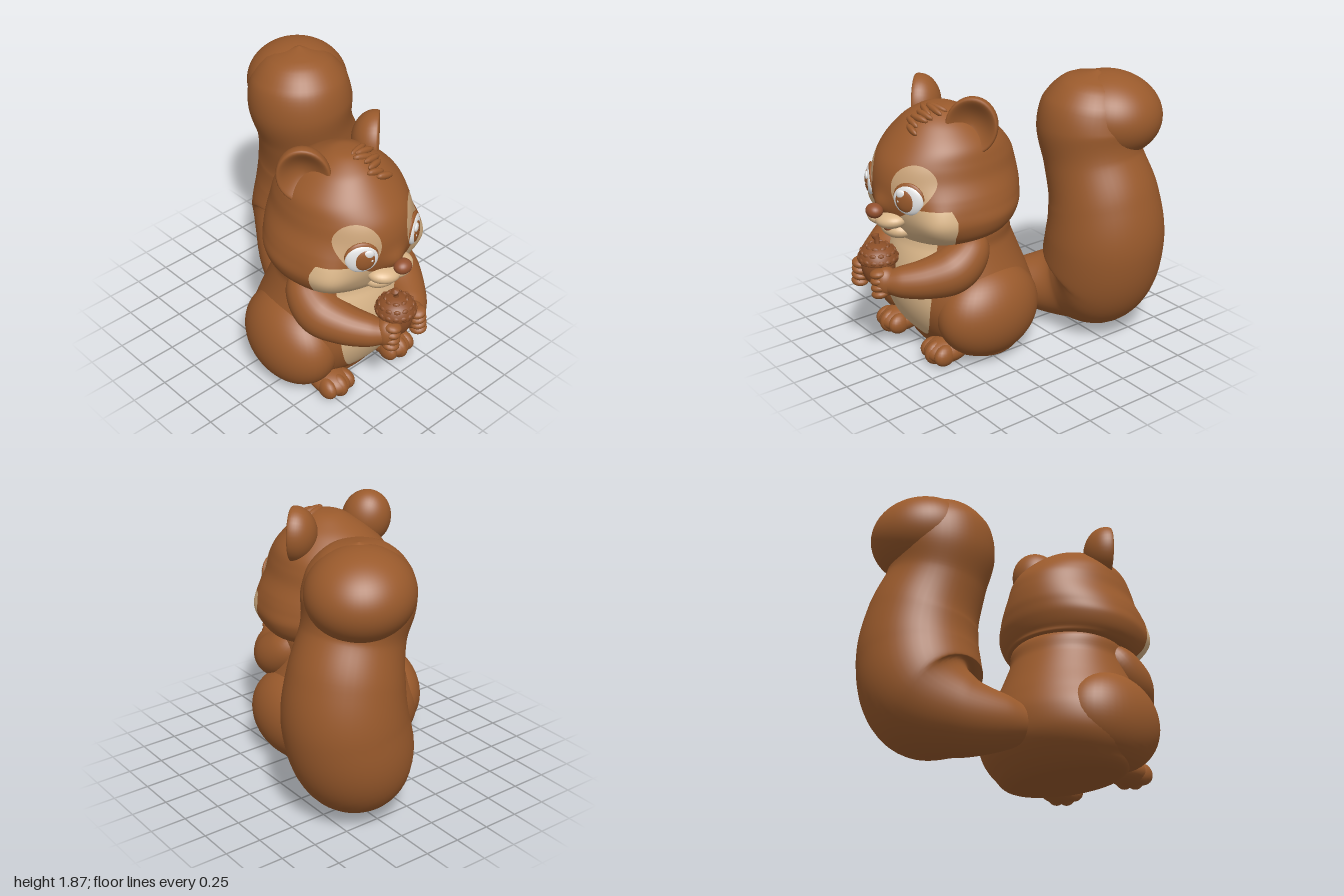
import * as THREE from 'three';
import { mergeVertices } from 'three/addons/utils/BufferGeometryUtils.js';

const mat = (name, color) => Object.assign(new THREE.MeshStandardMaterial({ color }), { name });
const fur = mat('brown fur', 0x9a5a2c);
const cream = mat('cream fur', 0xdab689);
const patch = mat('tan eye patch', 0xc9a277);
const white = mat('eye white', 0xe6e6e6);
const nutBrown = mat('nut brown', 0x8c4f28);
const noseBrown = mat('nose brown', 0x93502e);

// Smooth interpolation through rows of numbers, t from 0 to 1
function spline(rows, t) {
  const n = rows.length - 1, i = Math.min(Math.floor(t * n), n - 1), k = t * n - i;
  const at = (j) => rows[Math.max(0, Math.min(n, j))];
  return rows[0].map((_, c) => {
    const [a, b, d, e] = [at(i - 1)[c], at(i)[c], at(i + 1)[c], at(i + 2)[c]];
    return b + 0.5 * k * (d - a + k * (2 * a - 5 * b + 4 * d - e + k * (3 * (b - d) + e - a)));
  });
}

function smooth(geo) {
  geo.deleteAttribute('uv');
  geo.deleteAttribute('normal');
  const g = mergeVertices(geo, 1e-5);
  g.computeVertexNormals();
  return g;
}

function add(parent, name, geo, material, pos = [0, 0, 0], rot = [0, 0, 0]) {
  const m = new THREE.Mesh(geo, material);
  m.name = name;
  m.position.set(...pos);
  m.rotation.set(...rot);
  parent.add(m);
  return m;
}

const blob = (parent, name, material, pos, r, rot, seg = 28) =>
  add(parent, name, new THREE.SphereGeometry(1, seg, Math.ceil(seg * 0.7)).scale(...r), material, pos, rot);

// Stacked ellipses; each row is [y, half width, back z, front z], then warp(point) adjusts each vertex
function loft(rows, nu, nv, warp) {
  const geo = new THREE.PlaneGeometry(1, 1, nu, nv), p = geo.attributes.position;
  for (let i = 0; i < p.count; i++) {
    const th = p.getX(i) * Math.PI * 2;
    const [y, w, back, front] = spline(rows, Math.min(1, Math.max(0, p.getY(i) + 0.5)));
    const v = new THREE.Vector3(w * Math.sin(th), y, (back + front) / 2 + (front - back) / 2 * Math.cos(th));
    warp(v);
    p.setXYZ(i, v.x, v.y, v.z);
  }
  return smooth(geo);
}

// Tube of varying thickness through points [x, y, z, radius]
function sweep(pts, steps, sides) {
  const path = new THREE.CatmullRomCurve3(pts.map((q) => new THREE.Vector3(q[0], q[1], q[2])));
  const geo = new THREE.TubeGeometry(path, steps, 1, sides), p = geo.attributes.position;
  const v = new THREE.Vector3();
  for (let i = 0; i < p.count; i++) {
    const u = Math.floor(i / (sides + 1)) / steps, c = path.getPointAt(u);
    const r = spline(pts, path.getUtoTmapping(u))[3];
    v.fromBufferAttribute(p, i).sub(c).multiplyScalar(r).add(c);
    p.setXYZ(i, v.x, v.y, v.z);
  }
  return smooth(geo);
}

// Cut a surface along the zero line of each field(|x|, y, z); its positive side becomes material 1, 2, ...
function paint(geo, fields) {
  const pos = Array.from(geo.attributes.position.array), nor = Array.from(geo.attributes.normal.array);
  const ix = geo.index.array, sets = [[]];
  for (let i = 0; i < ix.length; i += 3) sets[0].push([ix[i], ix[i + 1], ix[i + 2]]);
  const cut = (a, b, t) => {
    for (const arr of [pos, nor])
      for (let k = 0; k < 3; k++) arr.push(arr[a * 3 + k] + (arr[b * 3 + k] - arr[a * 3 + k]) * t);
    return pos.length / 3 - 1;
  };
  for (const field of fields) {
    const out = [], inn = [];
    for (const tri of sets[0]) {
      const f = tri.map((j) => field(Math.abs(pos[j * 3]), pos[j * 3 + 1], pos[j * 3 + 2]));
      const sum = f.filter((v) => v > 0).length;
      if (sum % 3 === 0) { (sum ? inn : out).push(tri); continue; }
      const k = f.findIndex((v) => (v > 0) === (sum === 1)), l = (k + 1) % 3, m = (k + 2) % 3;
      const p = cut(tri[k], tri[l], f[k] / (f[k] - f[l])), q = cut(tri[k], tri[m], f[k] / (f[k] - f[m]));
      const [lone, pair] = sum === 1 ? [inn, out] : [out, inn];
      lone.push([tri[k], p, q]);
      pair.push([p, tri[l], tri[m]], [p, tri[m], q]);
    }
    sets[0] = out;
    sets.push(inn);
  }
  const g = new THREE.BufferGeometry();
  g.setAttribute('position', new THREE.Float32BufferAttribute(pos, 3));
  g.setAttribute('normal', new THREE.Float32BufferAttribute(nor, 3));
  g.setIndex(sets.flat(2));
  let start = 0;
  sets.forEach((s, i) => { g.addGroup(start, s.length * 3, i); start += s.length * 3; });
  return g;
}

const oval = (x, y, cx, cy, rx, ry) => 1 - Math.hypot((x - cx) / rx, (y - cy) / ry);
const ramp = (v) => THREE.MathUtils.smoothstep(v, 0, 1);

// Head shaping: sloping jaw line, puffed cheeks and a raised nose bridge
function shapeHead(v) {
  v.y -= 0.1 * v.z * Math.min(1, Math.max(0, (1.2 - v.y) / 0.25));
  const swell = (x, y, z, r) => Math.exp(-((Math.abs(v.x) - x) ** 2 + (v.y - y) ** 2 + (v.z - z) ** 2) / (r * r));
  const cheek = swell(0.36, 1.03, 0.6, 0.15), bridge = swell(0, 1.11, 0.82, 0.085);
  v.x += Math.sign(v.x) * 0.035 * cheek;
  v.z += 0.05 * cheek + 0.045 * bridge;
}

// Cupped ear: an ellipsoid whose front is dished inward
function earGeometry() {
  const geo = new THREE.SphereGeometry(1, 36, 28).rotateX(Math.PI / 2), p = geo.attributes.position;
  for (let i = 0; i < p.count; i++) {
    const d = 1 - p.getX(i) ** 2 - p.getY(i) ** 2;
    if (p.getZ(i) > 0) p.setZ(i, p.getZ(i) - 1.35 * d);
  }
  return smooth(geo.scale(0.17, 0.195, 0.15));
}

export function createModel() {
  const model = new THREE.Group();
  model.name = 'squirrel';
  const critter = new THREE.Group();
  critter.name = 'sittingFigure';
  critter.position.x = -0.18;
  model.add(critter);

  // Torso with cream belly
  const body = loft([[0, 0, 0.25, 0.25], [0, 0.4, -0.01, 0.47], [0.08, 0.5, -0.16, 0.53], [0.2, 0.565, -0.25, 0.63],
    [0.35, 0.565, -0.27, 0.7], [0.5, 0.51, -0.235, 0.73], [0.65, 0.45, -0.18, 0.72], [0.8, 0.4, -0.12, 0.68],
    [0.95, 0.36, -0.06, 0.6], [1.0, 0, 0.25, 0.25]], 100, 72, (v) => { v.y = Math.max(0, v.y); });
  add(critter, 'body', paint(body, [(x, y, z) => Math.min(z - 0.35,
    Math.max(oval(x, y, 0, 0.55, 0.29, 0.45), Math.min(y - 0.55, 0.26 - x)))]), [fur, cream]);

  // Head with tan eye patches and cream cheeks
  const head = loft([[0.93, 0, 0.3, 0.3], [0.92, 0.36, -0.06, 0.64], [0.96, 0.46, -0.11, 0.71],
    [1.05, 0.505, -0.15, 0.77], [1.13, 0.49, -0.165, 0.81], [1.2, 0.465, -0.17, 0.83], [1.3, 0.42, -0.16, 0.83],
    [1.4, 0.395, -0.13, 0.8], [1.5, 0.36, -0.05, 0.73], [1.6, 0.27, 0.07, 0.64], [1.66, 0.19, 0.17, 0.57],
    [1.71, 0.09, 0.28, 0.47], [1.72, 0, 0.38, 0.38]], 110, 84, shapeHead);
  add(critter, 'head', paint(head, [
    (x, y, z) => Math.min(z - 0.4, oval(x, y, 0.228, 1.275, 0.118, 0.15)),
    (x, y, z) => Math.min(z - 0.55 + Math.max(0, 0.95 - y) * 0.5 - Math.max(0, y - 1.08) * 0.4,
      1.04 + 0.11 * ramp((x - 0.06) / 0.26) - y),
  ]), [fur, patch, cream]);

  // Chin, mouth and nose
  blob(critter, 'chin', cream, [0, 0.93, 0.71], [0.13, 0.065, 0.1]);
  blob(critter, 'mouth', noseBrown, [0.01, 0.96, 0.785], [0.05, 0.04, 0.03]);
  blob(critter, 'nose', noseBrown, [0.01, 1.092, 0.885], [0.062, 0.048, 0.055]);

  const ear = earGeometry();
  for (const s of [-1, 1]) {
    const side = new THREE.Group();
    side.name = s > 0 ? 'leftSide' : 'rightSide';
    critter.add(side);
    blob(side, 'muzzle', cream, [s * 0.065, 1.025, 0.795], [0.11, 0.055, 0.09], [0, s * 0.4, s * 0.12]);
    add(side, 'ear', ear, fur, [s * 0.3, 1.625, 0.32], [0, s * 0.75, -s * 0.2]);

    // Eye: lash rim, white, iris and highlights layered on the face
    const eye = new THREE.Group();
    eye.name = 'eye';
    eye.position.set(s * 0.225, 1.205, 0.757);
    eye.rotation.y = s * 0.54;
    side.add(eye);
    blob(eye, 'lash', fur, [0, 0.012, 0], [0.108, 0.103, 0.026]);
    blob(eye, 'eyeWhite', white, [0, 0, 0.004], [0.105, 0.102, 0.034]);
    blob(eye, 'iris', fur, [-s * 0.012, -0.002, 0.016], [0.074, 0.08, 0.028]);
    blob(eye, 'highlight', white, [-s * 0.04, 0.042, 0.029], [0.034, 0.03, 0.013]);
    blob(eye, 'smallHighlight', white, [-s * 0.055, -0.005, 0.028], [0.016, 0.016, 0.011]);

    // Arm, hand and fingers
    add(side, 'arm', sweep([[s * 0.28, 0.9, 0.3, 0.08], [s * 0.335, 0.79, 0.37, 0.135], [s * 0.335, 0.69, 0.5, 0.16],
      [s * 0.275, 0.645, 0.66, 0.135], [s * 0.185, 0.63, 0.81, 0.105], [s * 0.12, 0.63, 0.89, 0.075]], 40, 28), fur);
    blob(side, 'hand', fur, [s * 0.125, 0.635, 0.89], [0.075, 0.1, 0.085]);
    for (let i = 0; i < 4; i++)
      blob(side, 'finger', fur, [s * (0.11 + 0.005 * i), 0.695 - 0.045 * i, 0.935], [0.058, 0.033, 0.058], [0, s * 0.3, s * 0.2], 16);

    // Thigh, foot and toes
    blob(side, 'thigh', fur, [s * 0.355, 0.335, 0.24], [0.265, 0.325, 0.39], [0, s * 0.1, 0], 44);
    blob(side, 'foot', fur, [s * 0.28, 0.09, 0.53], [0.125, 0.09, 0.165]);
    for (let i = -1; i < 2; i++)
      blob(side, 'toe', fur, [s * 0.28 + i * 0.07, 0.085, 0.61 - Math.abs(i) * 0.02], [0.058, 0.085 - Math.abs(i) * 0.01, 0.09], [0, i * 0.2, 0], 20);
  }

  // Tuft of hair on the crown
  for (let i = 0; i < 7; i++) {
    const t = i / 6;
    blob(critter, 'hairTuft', fur, [0.06 + 0.025 * Math.sin(i * 2.3), 1.705 - 0.1 * t * t, 0.42 + 0.21 * t],
      [0.085 - 0.02 * t, 0.026, 0.022], [0.3, 0.25 * Math.cos(i * 1.7), -0.2], 14);
  }

  // Acorn: nut, scaly cap and stem
  const acorn = new THREE.Group();
  acorn.name = 'acorn';
  acorn.position.set(-0.01, 0, 0.86);
  critter.add(acorn);
  const lathe = (pts) => new THREE.LatheGeometry(new THREE.SplineCurve(pts.map((q) => new THREE.Vector2(...q))).getPoints(24), 36);
  add(acorn, 'nut', lathe([[0.001, 0.535], [0.03, 0.55], [0.085, 0.6], [0.11, 0.67], [0.112, 0.74]]), nutBrown);
  add(acorn, 'cap', lathe([[0.1, 0.735], [0.13, 0.73], [0.132, 0.76], [0.105, 0.81], [0.05, 0.84], [0.001, 0.848]]), nutBrown);
  add(acorn, 'stem', sweep([[0, 0.83, 0, 0.018], [-0.005, 0.87, 0, 0.017], [-0.02, 0.905, 0.005, 0.026], [-0.022, 0.912, 0.005, 0.001]], 12, 12), nutBrown);
  [[0.125, 0.755, 16], [0.108, 0.795, 13], [0.068, 0.826, 8]].forEach(([r, y, n], row) => {
    for (let i = 0; i < n; i++) {
      const a = (i + row / 2) / n * Math.PI * 2;
      blob(acorn, 'capScale', nutBrown, [r * Math.sin(a), y, r * Math.cos(a)], [0.025, 0.018, 0.013], [0, a, 0], 8);
    }
  });

  // Tail sweeping up behind the left side, its rounded top curling outward and back
  add(model, 'tail', sweep([[-0.2, 0.28, -0.12, 0.1], [-0.08, 0.28, -0.28, 0.18], [0.11, 0.31, -0.47, 0.27], [0.3, 0.425, -0.58, 0.39],
    [0.395, 0.72, -0.59, 0.405], [0.38, 1.0, -0.58, 0.375], [0.3, 1.28, -0.55, 0.335], [0.26, 1.5, -0.55, 0.36],
    [0.27, 1.68, -0.565, 0.32], [0.28, 1.81, -0.575, 0.2], [0.285, 1.87, -0.58, 0.001]], 90, 48), fur);
  blob(model, 'tailTip', fur, [0.325, 1.575, -0.65], [0.36, 0.285, 0.345], [0, 0.6, -0.1], 56);

  return model;
}
